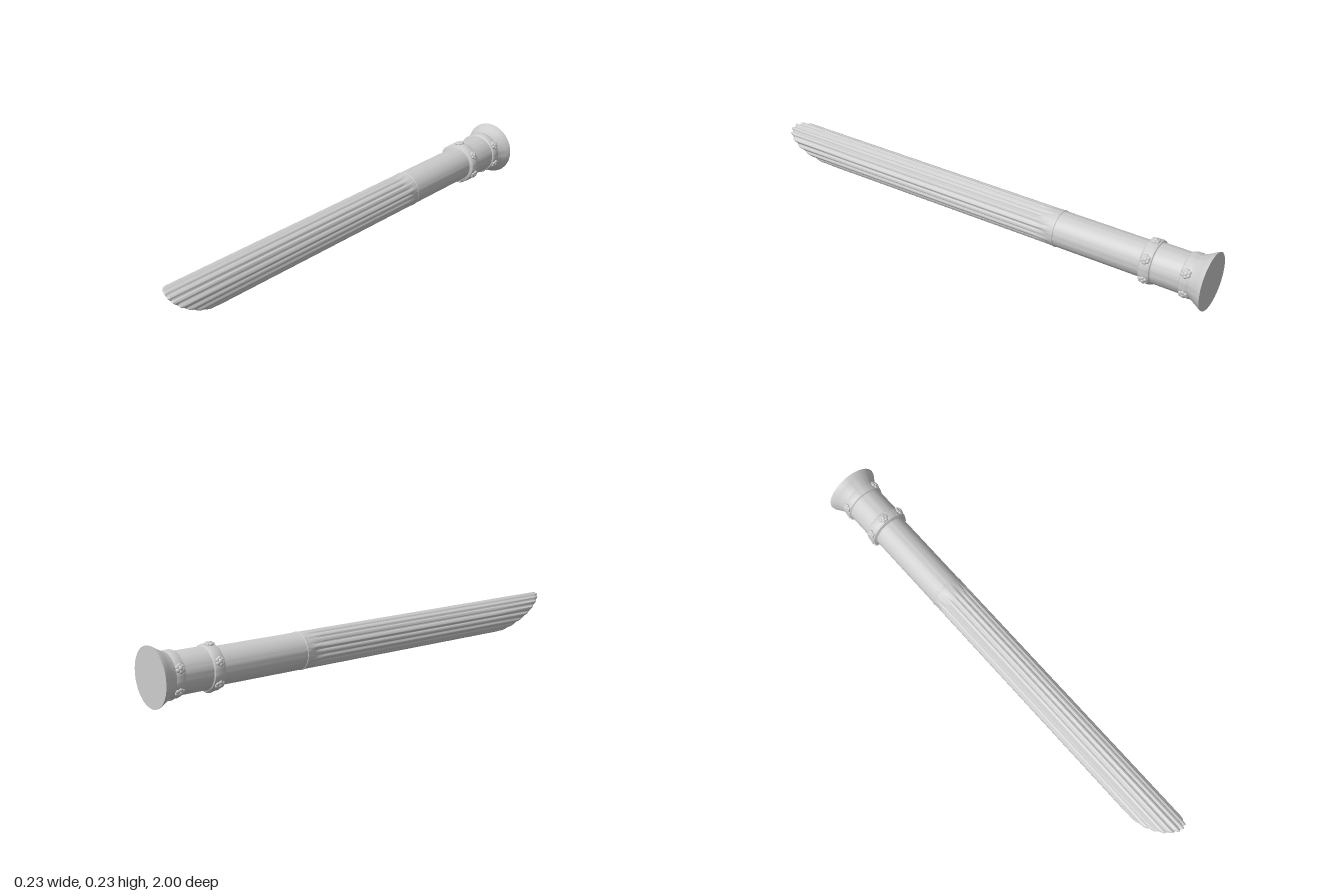
import * as THREE from 'three';
import { toCreasedNormals } from 'three/addons/utils/BufferGeometryUtils.js';

const CY = 0.115; // height of the column's axis
const REEDS = 18;
const SEG = REEDS * 8;

// Slanted, slightly curved broken end: z for a point of the cross-section
const cutZ = (x, y) => 0.895 + 1.7 * y - 4.7 * y * y + 0.55 * x;

// Turned part along z from [radius, z] pairs
function turned(points, crease = 0.6) {
  const g = new THREE.LatheGeometry(points.map(([r, z]) => new THREE.Vector2(r, z)), 64);
  g.rotateX(Math.PI / 2);
  return toCreasedNormals(g, crease);
}

// Reeded shaft lofted from scalloped rings, closed with the slanted end
function reededGeometry() {
  const rings = [];
  const bodyZ = [[-0.36, 0], [-0.345, 0.1], [-0.33, 0.5], [-0.31, 0.85], [-0.28, 1], [0.2, 1], [0.65, 1]];
  for (const [z, depth] of bodyZ) rings.push({ scale: 1, depth, z: () => z });
  // rounded reed tips, then the end face running in to the middle
  for (const [scale, depth, back] of [[1, 1, 0.02], [0.98, 1, 0.008], [0.94, 0.9, 0.002], [0.88, 0.5, 0], [0.8, 0, 0.001], [0.5, 0, 0.004], [0.001, 0, 0.007]]) {
    rings.push({ scale, depth, z: (x, y) => cutZ(x, y) - back });
  }
  const pos = [], index = [];
  rings.forEach((ring, j) => {
    for (let i = 0; i < SEG; i++) {
      const t = (i / SEG) * Math.PI * 2;
      const groove = Math.pow(Math.abs(Math.sin((t * REEDS) / 2)), 2.6);
      const r = (0.074 - 0.008 * groove * ring.depth) * ring.scale;
      const x = r * Math.cos(t), y = r * Math.sin(t);
      pos.push(x, y, ring.z(x, y));
      if (j < rings.length - 1) {
        const n = (i + 1) % SEG, a = j * SEG + i, b = j * SEG + n;
        index.push(a, b, a + SEG, b, b + SEG, a + SEG);
      }
    }
  });
  const g = new THREE.BufferGeometry();
  g.setAttribute('position', new THREE.Float32BufferAttribute(pos, 3));
  g.setIndex(index);
  return toCreasedNormals(g, 1.1);
}

export function createModel() {
  const group = new THREE.Group();
  const stone = new THREE.MeshStandardMaterial({ color: 0xcccccc });
  stone.name = 'grey stone';
  const add = (name, geometry) => {
    const m = new THREE.Mesh(geometry, stone);
    m.name = name;
    m.position.y = CY;
    group.add(m);
  };

  // Flared foot with its flat back
  add('flaredBase', turned([[0, -1], [0.115, -1], [0.113, -0.993], [0.102, -0.975], [0.091, -0.955], [0.084, -0.935], [0.081, -0.92]]));
  // Neck between the collars
  add('neck', turned([[0.08, -0.93], [0.081, -0.9], [0.081, -0.76]]));
  // Rounded collars
  add('backCollar', turned([[0.08, -0.947], [0.086, -0.943], [0.089, -0.934], [0.089, -0.915], [0.086, -0.906], [0.08, -0.902]]));
  add('frontCollar', turned([[0.08, -0.788], [0.086, -0.784], [0.089, -0.775], [0.089, -0.75], [0.085, -0.741], [0.072, -0.735]]));
  // Plain shaft and the thin ring where the reeds start
  add('plainShaft', turned([[0.073, -0.76], [0.073, -0.355]]));
  add('shaftRing', turned([[0.072, -0.368], [0.0752, -0.366], [0.0752, -0.359], [0.073, -0.356]]));
  add('reededShaft', reededGeometry());

  // Rosette bosses round each collar: a flat dome with a ring of petals
  const dome = new THREE.SphereGeometry(1, 14, 10);
  function boss(angle, z) {
    const b = new THREE.Group();
    b.name = 'collarBoss';
    const part = (name, y, z, out, size, height) => {
      const m = new THREE.Mesh(dome, stone);
      m.name = name;
      m.position.set(out, y, z);
      m.scale.set(height, size, size);
      b.add(m);
    };
    part('bossCentre', 0, 0, 0.003, 0.01, 0.008);
    for (let i = 0; i < 6; i++) {
      const t = (i / 6) * Math.PI * 2;
      part('bossPetal', 0.011 * Math.cos(t), 0.011 * Math.sin(t), 0, 0.009, 0.007);
    }
    b.position.set(0.089 * Math.cos(angle), CY + 0.089 * Math.sin(angle), z);
    b.rotation.z = angle;
    group.add(b);
  }
  for (let i = 0; i < 6; i++) {
    const angle = THREE.MathUtils.degToRad(95 + i * 60);
    boss(angle, -0.762);
    if (i > 0) boss(angle, -0.925);
  }
  return group;
}
